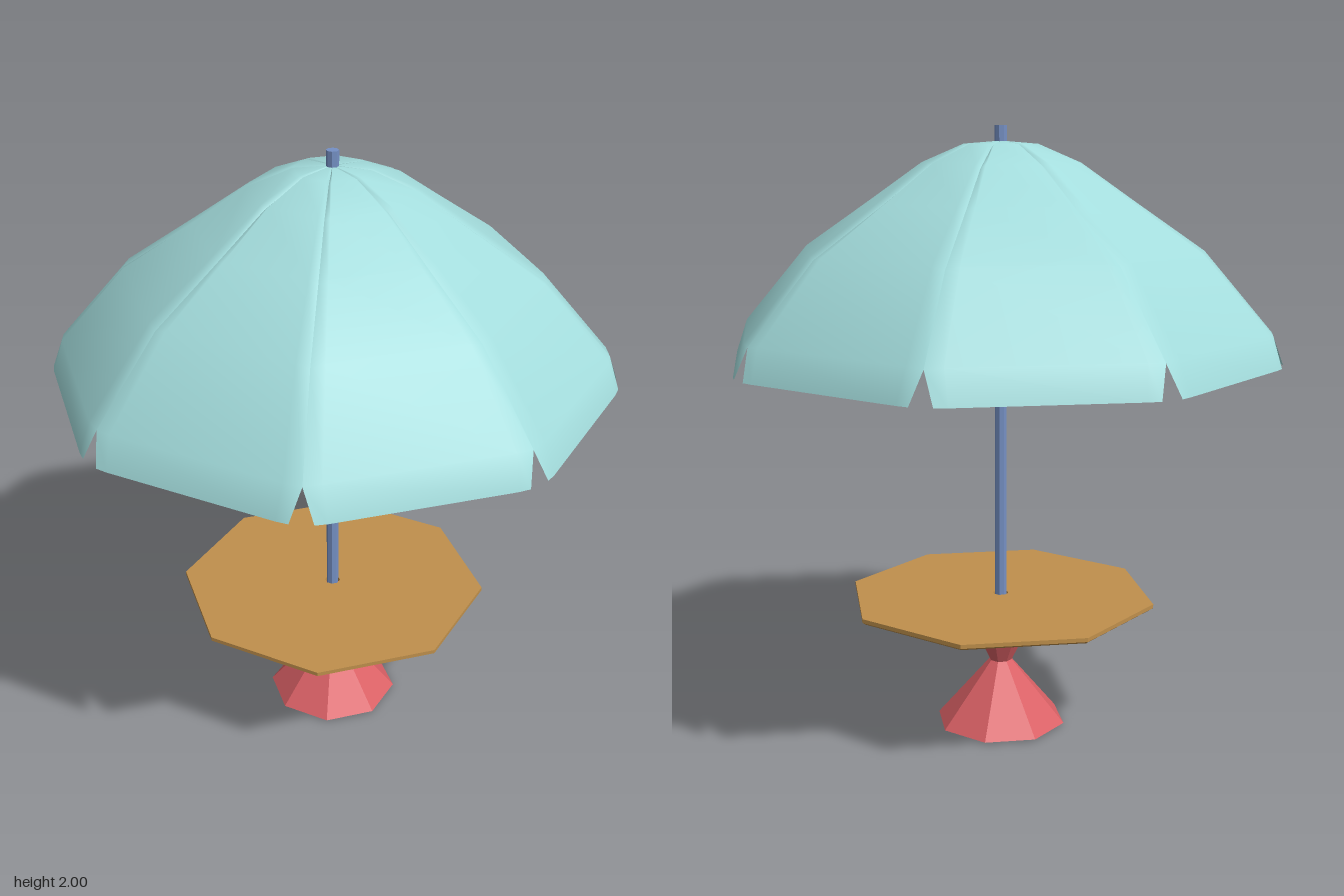
import * as THREE from 'three';

const SIDES = 8;
const STEP = (Math.PI * 2) / SIDES;

function part(name, geometry, color, options = {}) {
  const mesh = new THREE.Mesh(geometry, new THREE.MeshStandardMaterial({ color, ...options }));
  mesh.name = name;
  return mesh;
}

function lathe(points) {
  return new THREE.LatheGeometry(points.map(([r, y]) => new THREE.Vector2(r, y)), SIDES);
}

// Canopy rows: seam radius, height, edge inset, end of rounded edge, outward and upward bulge
const ROWS = [
  [0.01, 1.95, 0, 0.08, 0, 0.002],
  [0.12, 1.932, 0, 0.08, 0.003, 0.011],
  [0.257, 1.873, 0, 0.08, 0.006, 0.012],
  [0.43, 1.755, 0, 0.08, 0.008, 0.011],
  [0.655, 1.605, 0, 0.08, 0.009, 0.01],
  [0.872, 1.36, 0, 0.08, 0.012, 0.005],
  [0.919, 1.262, 0.054, 0.11, 0.004, 0],
];

// One cloth panel between two seams; the last row is the hanging flap
function panelGeometry() {
  const positions = [];
  const index = [];
  const half = STEP / 2;
  for (const [r, y, inset, edge, out, up] of ROWS) {
    for (const [t, bulge] of [[inset, 0], [edge, 1], [1 - edge, 1], [1 - inset, 0]]) {
      positions.push(
        r * Math.sin(half) * (2 * t - 1),
        y + up * bulge,
        r * Math.cos(half) + out * bulge,
      );
    }
  }
  for (let j = 0; j < ROWS.length - 1; j++) {
    for (let i = 0; i < 3; i++) {
      const a = j * 4 + i;
      index.push(a, a + 4, a + 5, a, a + 5, a + 1);
    }
  }
  const geometry = new THREE.BufferGeometry();
  geometry.setAttribute('position', new THREE.Float32BufferAttribute(positions, 3));
  geometry.setIndex(index);
  geometry.computeVertexNormals();
  return geometry;
}

export function createModel() {
  const model = new THREE.Group();
  model.name = 'parasolTable';

  // Canopy of eight panels
  const canopy = new THREE.Group();
  canopy.name = 'canopy';
  const panel = panelGeometry();
  for (let k = 0; k < SIDES; k++) {
    const mesh = part('canopyPanel', panel, 0xa3dcdc, { side: THREE.DoubleSide });
    mesh.rotation.y = (k + 0.5) * STEP;
    canopy.add(mesh);
  }
  model.add(canopy);

  // Pole through the whole model
  const pole = part('pole', new THREE.CylinderGeometry(0.02, 0.02, 2, SIDES), 0x7590c4, { flatShading: true });
  pole.position.y = 1;
  model.add(pole);

  // Octagonal table top with a hole for the pole
  model.add(part('tableTop', lathe([
    [0.026, 0.435], [0.508, 0.435], [0.518, 0.442], [0.518, 0.455], [0.026, 0.455], [0.026, 0.435],
  ]), 0xc0904c, { flatShading: true }));

  // Hourglass foot
  model.add(part('base', lathe([
    [0, 0.006], [0.22, 0.006], [0.038, 0.22], [0.146, 0.436], [0, 0.436],
  ]), 0xdb6166, { flatShading: true }));

  return model;
}
